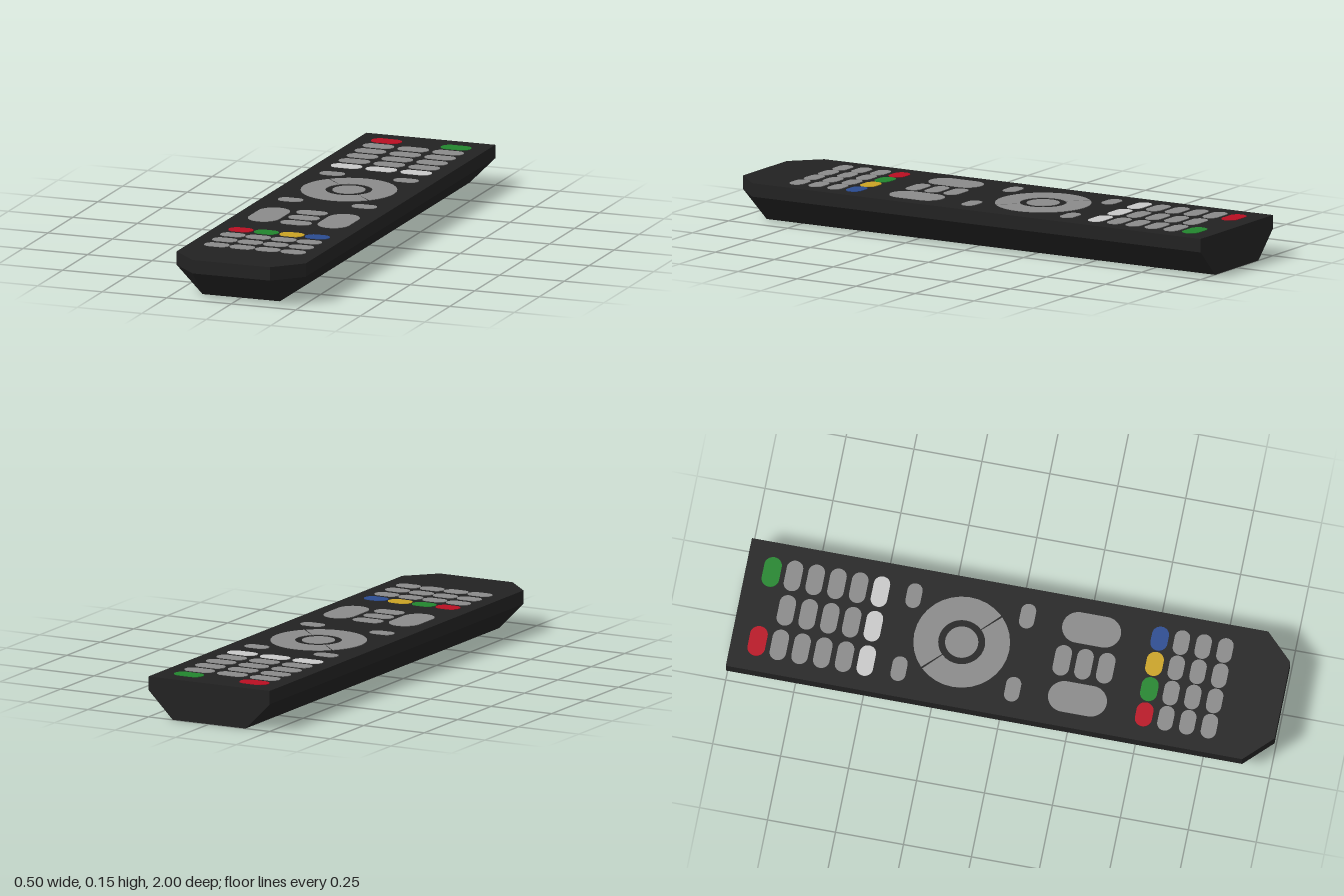
import * as THREE from 'three';
import { ConvexGeometry } from 'three/addons/geometries/ConvexGeometry.js';

const TOP = 0.15, THICK = 0.002;

export function createModel() {
  const model = new THREE.Group();
  model.name = 'remoteControl';

  const mat = (name, color) => {
    const m = new THREE.MeshStandardMaterial({ color });
    m.name = name;
    return m;
  };
  const black = mat('black casing', 0x222222);
  const grey = mat('grey button', 0x8a8a8a);
  const light = mat('light grey button', 0xc8c8c8);
  const red = mat('red button', 0xb80f22);
  const green = mat('green button', 0x22852e);
  const yellow = mat('yellow button', 0xc9a224);
  const blue = mat('blue button', 0x2a4b90);

  // Casing: straight upper rim, bevelled underside, flat back end
  const corners = [];
  for (const s of [-1, 1]) {
    for (const y of [0.1, TOP]) {
      corners.push([0.25 * s, y, -1], [0.25 * s, y, 0.9], [0.15 * s, y, 1]);
    }
    corners.push([0.15 * s, 0, -1], [0.15 * s, 0, 0.9]);
  }
  const casing = new THREE.Mesh(
    new ConvexGeometry(corners.map((c) => new THREE.Vector3(...c))), black);
  casing.name = 'casing';
  model.add(casing);

  // Thin plate lying on the top face
  const plate = (name, shape, material, x, z) => {
    const geo = new THREE.ExtrudeGeometry(shape, { depth: THICK, bevelEnabled: false, curveSegments: 8 });
    geo.rotateX(-Math.PI / 2);
    const mesh = new THREE.Mesh(geo, material);
    mesh.name = name;
    mesh.position.set(x, TOP, z);
    model.add(mesh);
  };

  // Button with fully rounded ends
  const button = (name, material, x, z, w, h) => {
    const r = Math.min(w, h) / 2, a = w / 2 - r, b = h / 2 - r, q = Math.PI / 2;
    const s = new THREE.Shape();
    s.absarc(a, b, r, 0, q);
    s.absarc(-a, b, r, q, 2 * q);
    s.absarc(-a, -b, r, 2 * q, 3 * q);
    s.absarc(a, -b, r, 3 * q, 4 * q);
    plate(name, s, material, x, z);
  };

  // Power and source buttons
  button('powerButton', red, -0.135, -0.905, 0.115, 0.064);
  button('sourceButton', green, 0.135, -0.905, 0.115, 0.064);

  // Number pad, with a lighter last row
  for (let row = 0; row < 5; row++) {
    for (const x of [-0.135, 0, 0.135]) {
      button('numberButton', row === 4 ? light : grey, x, -0.825 + row * 0.08, 0.118, 0.06);
    }
  }

  // Small buttons around the navigation ring
  for (const z of [-0.383, 0.035]) {
    for (const x of [-0.143, 0.143]) button('cornerButton', grey, x, z, 0.095, 0.055);
  }

  // Navigation ring in two halves, split along a diagonal
  for (const start of [-Math.PI / 4, (3 * Math.PI) / 4]) {
    const gap = 0.02;
    const half = new THREE.Shape();
    half.absarc(0, 0, 0.175, start + gap, start + Math.PI - gap, false);
    half.absarc(0, 0, 0.085, start + Math.PI - gap, start + gap, true);
    plate('navigationRing', half, grey, 0, -0.18);
  }
  button('okButton', grey, 0, -0.18, 0.12, 0.12);

  // Rocker buttons and the column between them
  for (const x of [-0.135, 0.135]) button('rockerButton', grey, x, 0.272, 0.118, 0.215);
  for (const z of [0.19, 0.27, 0.35]) button('middleButton', grey, 0, z, 0.118, 0.06);

  // Colour keys and the lower pad
  [red, green, yellow, blue].forEach((colour, i) => {
    const x = -0.148 + i * 0.0987;
    button('colourButton', colour, x, 0.52, 0.093, 0.062);
    for (const z of [0.6, 0.68, 0.76]) button('lowerButton', grey, x, z, 0.095, 0.056);
  });

  return model;
}
